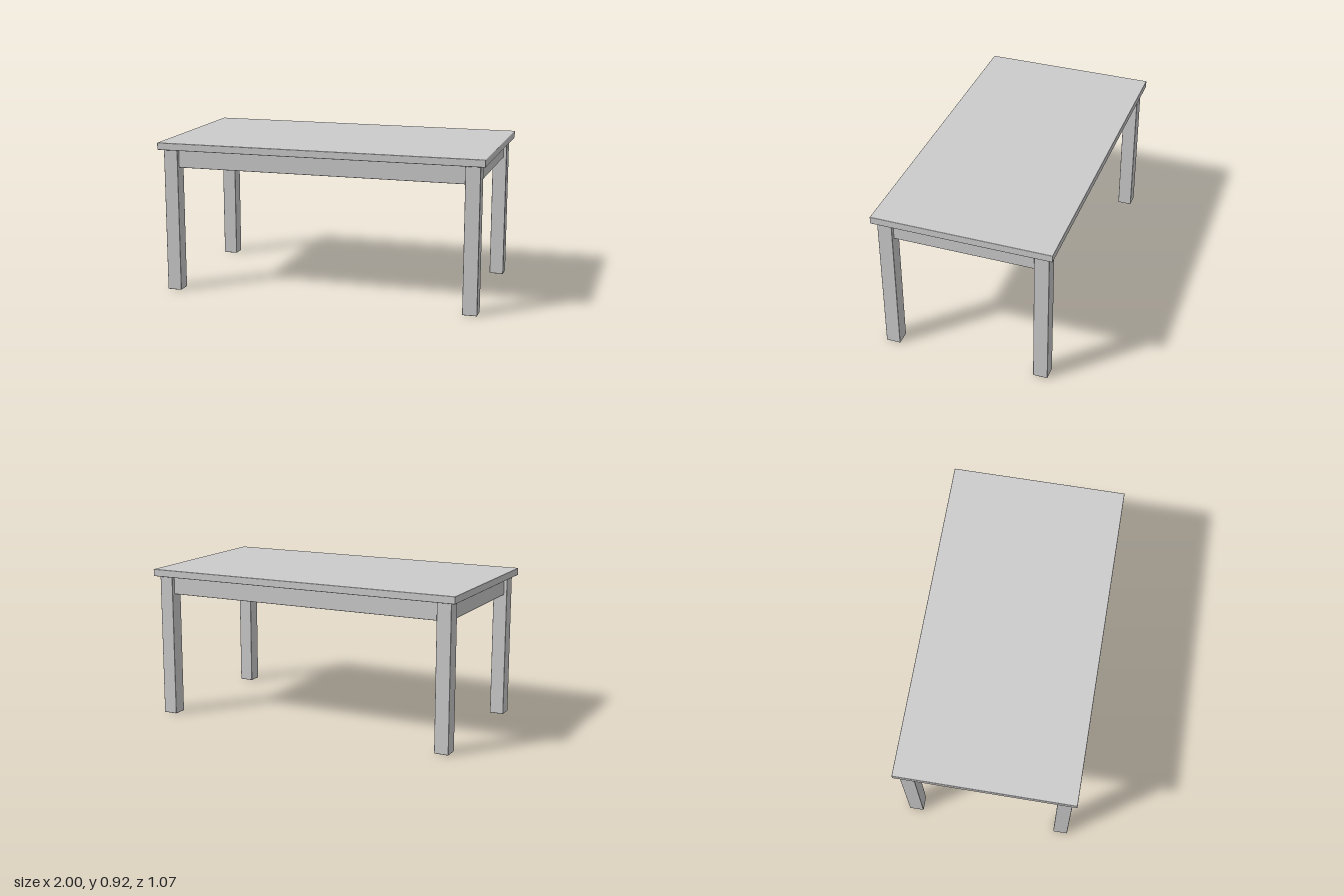
import * as THREE from 'three';
import { RoundedBoxGeometry } from 'three/addons/geometries/RoundedBoxGeometry.js';

export function createModel() {
  const group = new THREE.Group();
  const material = new THREE.MeshStandardMaterial({ color: 0xcccccc });

  const topHeight = 0.923, topThickness = 0.044;
  const underside = topHeight - topThickness;
  const legSize = 0.088, legX = 0.925, legZ = 0.464;
  const apronHeight = 0.111, apronThickness = 0.04;
  const bevel = 0.004;

  // Box with slightly eased edges, standing on y = bottom
  function board(name, w, h, d, x, bottom, z) {
    const mesh = new THREE.Mesh(new RoundedBoxGeometry(w, h, d, 2, bevel), material);
    mesh.name = name;
    mesh.position.set(x, bottom + h / 2, z);
    group.add(mesh);
  }

  board('tableTop', 2, topThickness, 1.07, 0, underside, 0);

  // Four square legs
  for (const [side, sx] of [['Left', 1], ['Right', -1]]) {
    for (const [end, sz] of [['front', 1], ['back', -1]]) {
      board(`${end}${side}Leg`, legSize, underside, legSize, sx * legX, 0, sz * legZ);
    }
  }

  // Aprons between the legs, set back from their outer faces
  const apronY = underside - apronHeight;
  const longApron = 2 * legX - legSize, shortApron = 2 * legZ - legSize;
  for (const [name, s] of [['front', 1], ['back', -1]]) {
    board(`${name}Apron`, longApron, apronHeight, apronThickness, 0, apronY, s * 0.469);
  }
  for (const [name, s] of [['left', 1], ['right', -1]]) {
    board(`${name}Apron`, apronThickness, apronHeight, shortApron, s * 0.93, apronY, 0);
  }

  return group;
}
